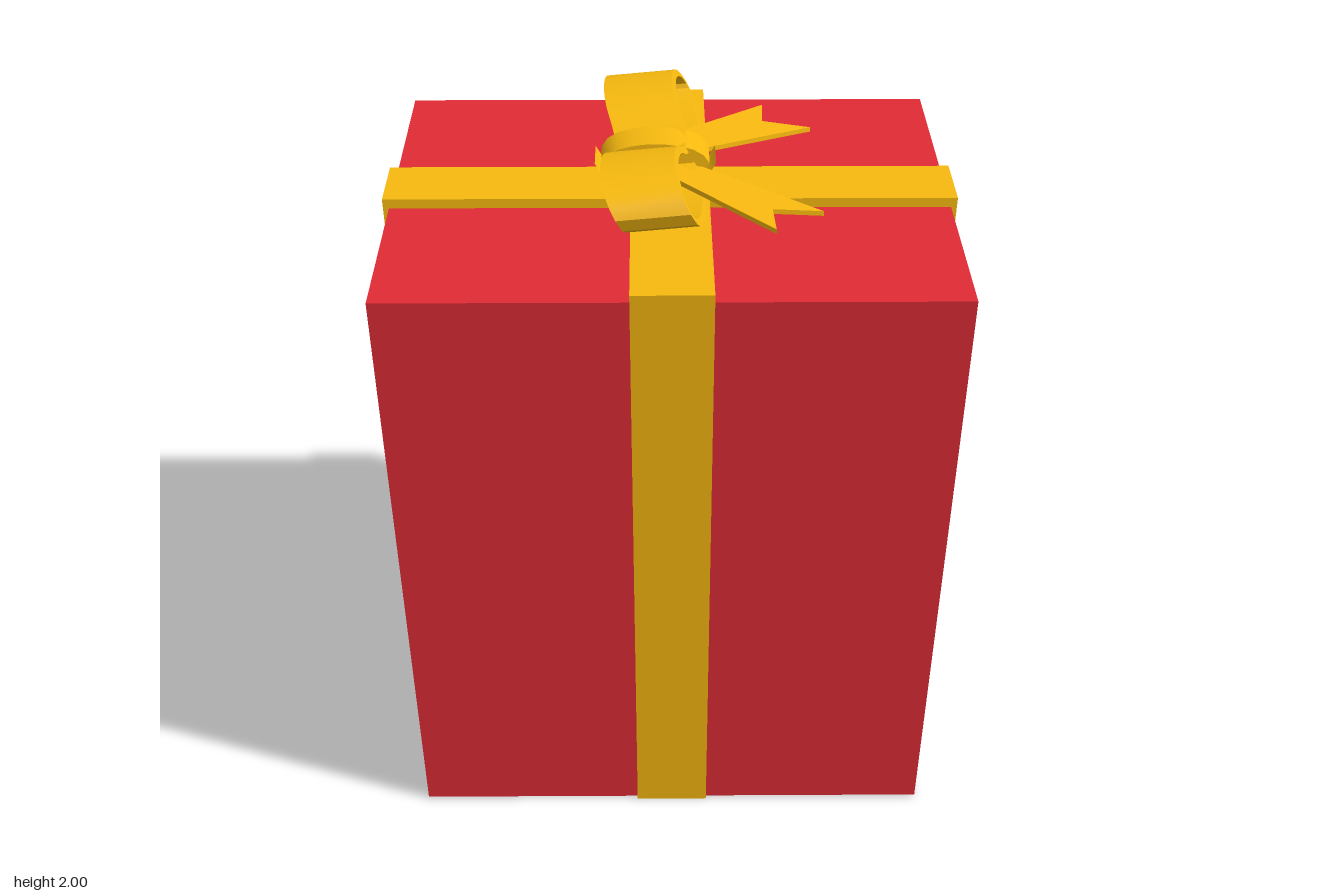
import * as THREE from 'three';
import { toCreasedNormals } from 'three/addons/utils/BufferGeometryUtils.js';

const red = new THREE.MeshStandardMaterial({ color: 0xe02b36 });
const gold = new THREE.MeshStandardMaterial({ color: 0xf8ba0f });

function add(parent, name, geometry, material) {
  const mesh = new THREE.Mesh(geometry, material);
  mesh.name = name;
  parent.add(mesh);
  return mesh;
}

// Box from y0 to y1 whose half widths change from bottom to top
function taperedBox(y0, y1, [bx, bz], [tx, tz]) {
  const g = new THREE.BoxGeometry(2, 2, 2);
  const p = g.attributes.position;
  for (let i = 0; i < p.count; i++) {
    const top = p.getY(i) > 0;
    p.setXYZ(i, p.getX(i) * (top ? tx : bx), top ? y1 : y0, p.getZ(i) * (top ? tz : bz));
  }
  g.computeVertexNormals();
  return g;
}

// Strip of even thickness along a curve in the XY plane, extruded along z
function ribbon(points, closed, thickness, width, samples) {
  const curve = new THREE.CatmullRomCurve3(points.map(([x, y]) => new THREE.Vector3(x, y, 0)), closed);
  const outer = [], inner = [];
  for (let i = 0; i <= samples; i++) {
    const p = curve.getPointAt(i / samples);
    const t = curve.getTangentAt(i / samples);
    const h = thickness / 2;
    outer.push(new THREE.Vector2(p.x - t.y * h, p.y + t.x * h));
    inner.unshift(new THREE.Vector2(p.x + t.y * h, p.y - t.x * h));
  }
  let shape;
  if (closed) {
    shape = new THREE.Shape(outer.slice(0, -1));
    shape.holes.push(new THREE.Path(inner.slice(0, -1)));
  } else {
    shape = new THREE.Shape([...outer, ...inner]);
  }
  const g = new THREE.ExtrudeGeometry(shape, { depth: width, bevelEnabled: false });
  g.translate(0, 0, -width / 2);
  return g;
}

// One loop of the bow, leaning towards -x at the top
function bowLoop(side) {
  const path = [[0, 1.905], [0.1, 1.92], [0.22, 1.962], [0.36, 1.978], [0.5, 1.965], [0.58, 1.93],
    [0.595, 1.89], [0.54, 1.857], [0.4, 1.832], [0.25, 1.825], [0.1, 1.855], [0, 1.88]];
  const g = ribbon(path.map(([z, y]) => [z * side, y]), false, 0.022, 0.22, 44);
  g.rotateY(-Math.PI / 2);
  const p = g.attributes.position;
  for (let i = 0; i < p.count; i++) {
    const x = p.getX(i), y = p.getY(i);
    p.setXYZ(i, x - 0.05 - 0.56 * (y - 1.9), y + 0.09 * x, p.getZ(i));
  }
  return toCreasedNormals(g, 0.7);
}

// Flat notched ribbon end, sloping down towards +x
function bowTail(side) {
  const outline = [[-0.06, 0.11], [0.03, 0.22], [0.31, 0.55], [0.305, 0.39], [0.46, 0.37], [0.1, 0.08], [0.0, 0.0]];
  const shape = new THREE.Shape(outline.map(([x, z]) => new THREE.Vector2(x, z * side)));
  const g = new THREE.ExtrudeGeometry(shape, { depth: 0.015, bevelEnabled: false });
  g.rotateX(Math.PI / 2);
  const p = g.attributes.position;
  for (let i = 0; i < p.count; i++) p.setY(i, p.getY(i) + 1.877 - 0.095 * p.getX(i));
  g.computeVertexNormals();
  return g;
}

export function createModel() {
  const model = new THREE.Group();
  model.name = 'giftBox';

  // Box, widening towards the top
  add(model, 'box', taperedBox(0.004, 1.755, [0.77, 0.77], [0.87, 0.87]), red);

  // Bands wrapped around all sides
  add(model, 'bandFrontToBack', taperedBox(0, 1.785, [0.108, 0.78], [0.122, 0.89]), gold);
  add(model, 'bandSideToSide', taperedBox(0, 1.785, [0.78, 0.125], [0.89, 0.14]), gold);

  // Bow
  const bow = new THREE.Group();
  bow.name = 'bow';
  model.add(bow);
  for (const [side, label] of [[1, 'Front'], [-1, 'Back']]) {
    add(bow, 'loop' + label, bowLoop(side), gold);
    add(bow, 'tail' + label, bowTail(side), gold);
  }

  // Ring holding the bow together
  const ring = [];
  for (let i = 0; i < 10; i++) {
    const a = (i / 10) * Math.PI * 2;
    ring.push([-0.045 + 0.178 * Math.cos(a), 1.878 + 0.073 * Math.sin(a)]);
  }
  add(bow, 'knot', toCreasedNormals(ribbon(ring, true, 0.02, 0.16, 20), 0.7), gold);

  return model;
}
